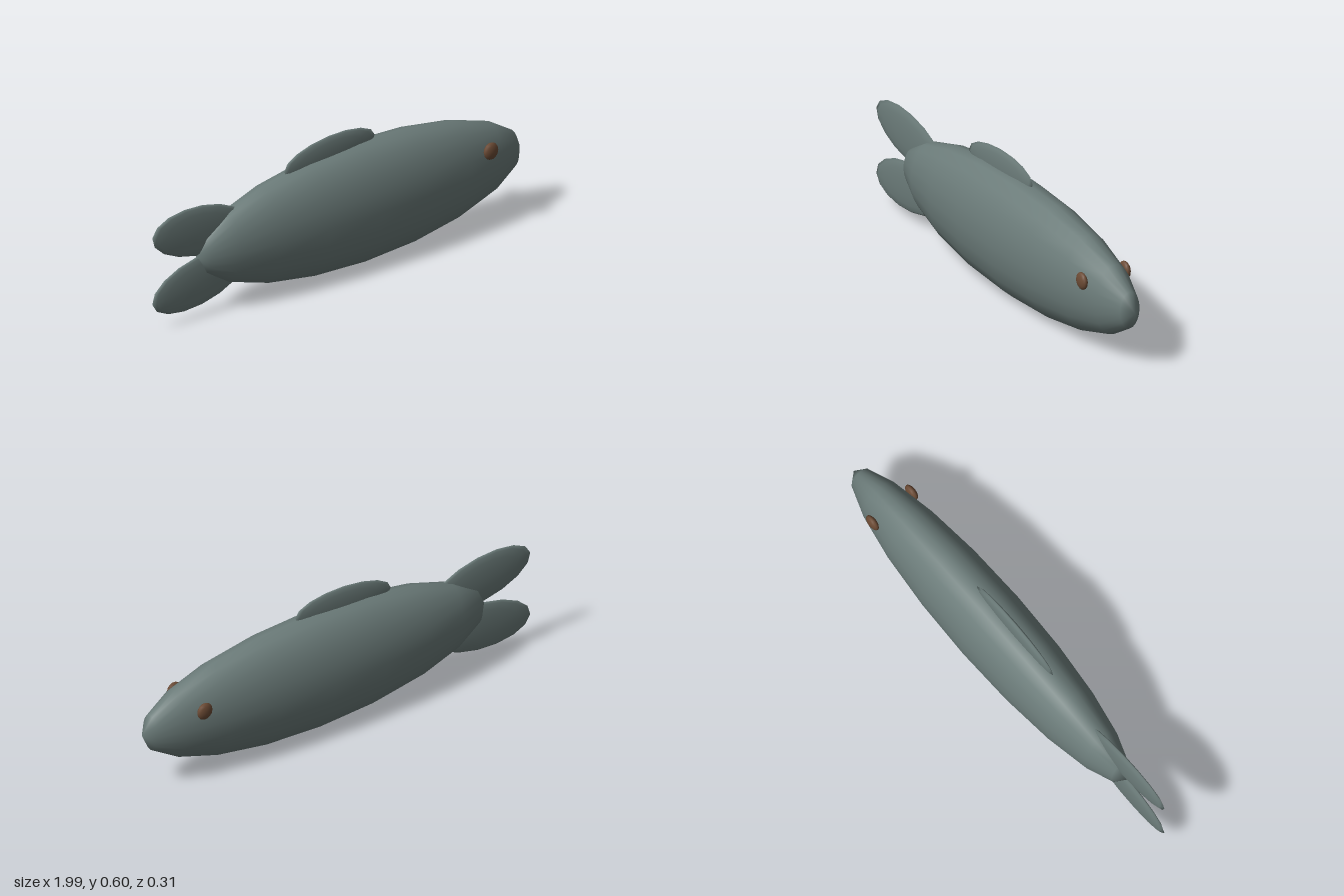
import * as THREE from 'three';

const skin = new THREE.MeshStandardMaterial({ name: 'grey green skin', color: 0x6b7b79 });
const brown = new THREE.MeshStandardMaterial({ name: 'brown eye', color: 0x6b4a34 });

export function createModel() {
  const fish = new THREE.Group();
  fish.name = 'fish';

  // Smooth ellipsoid with its poles along x (body) or z (flat parts)
  function ellipsoid(name, material, pole, segments, rings, radii, position, tilt = 0) {
    const geometry = new THREE.SphereGeometry(1, segments, rings);
    if (pole === 'x') geometry.rotateZ(-Math.PI / 2);
    else geometry.rotateX(Math.PI / 2);
    geometry.scale(...radii);
    const mesh = new THREE.Mesh(geometry, material);
    mesh.name = name;
    mesh.position.set(...position);
    mesh.rotation.z = tilt;
    fish.add(mesh);
  }

  // Body: long and narrow, nose towards +x
  ellipsoid('body', skin, 'x', 20, 10, [0.875, 0.266, 0.154], [0.115, 0.271, 0]);

  // Dorsal fin
  ellipsoid('dorsalFin', skin, 'z', 16, 8, [0.245, 0.08, 0.017], [-0.04, 0.53, 0.002], 0.06);

  // Tail lobes, mirrored about the middle line
  for (const side of [1, -1]) {
    ellipsoid(side > 0 ? 'upperTailLobe' : 'lowerTailLobe', skin, 'z', 16, 8,
      [0.257, 0.11, 0.018], [-0.743, 0.275 + side * 0.112, 0.002], -side * 0.14);
  }

  // Eyes
  for (const side of [1, -1]) {
    ellipsoid(side > 0 ? 'leftEye' : 'rightEye', brown, 'z', 14, 8,
      [0.037, 0.038, 0.017], [0.745, 0.35, side * 0.104]);
  }

  return fish;
}
